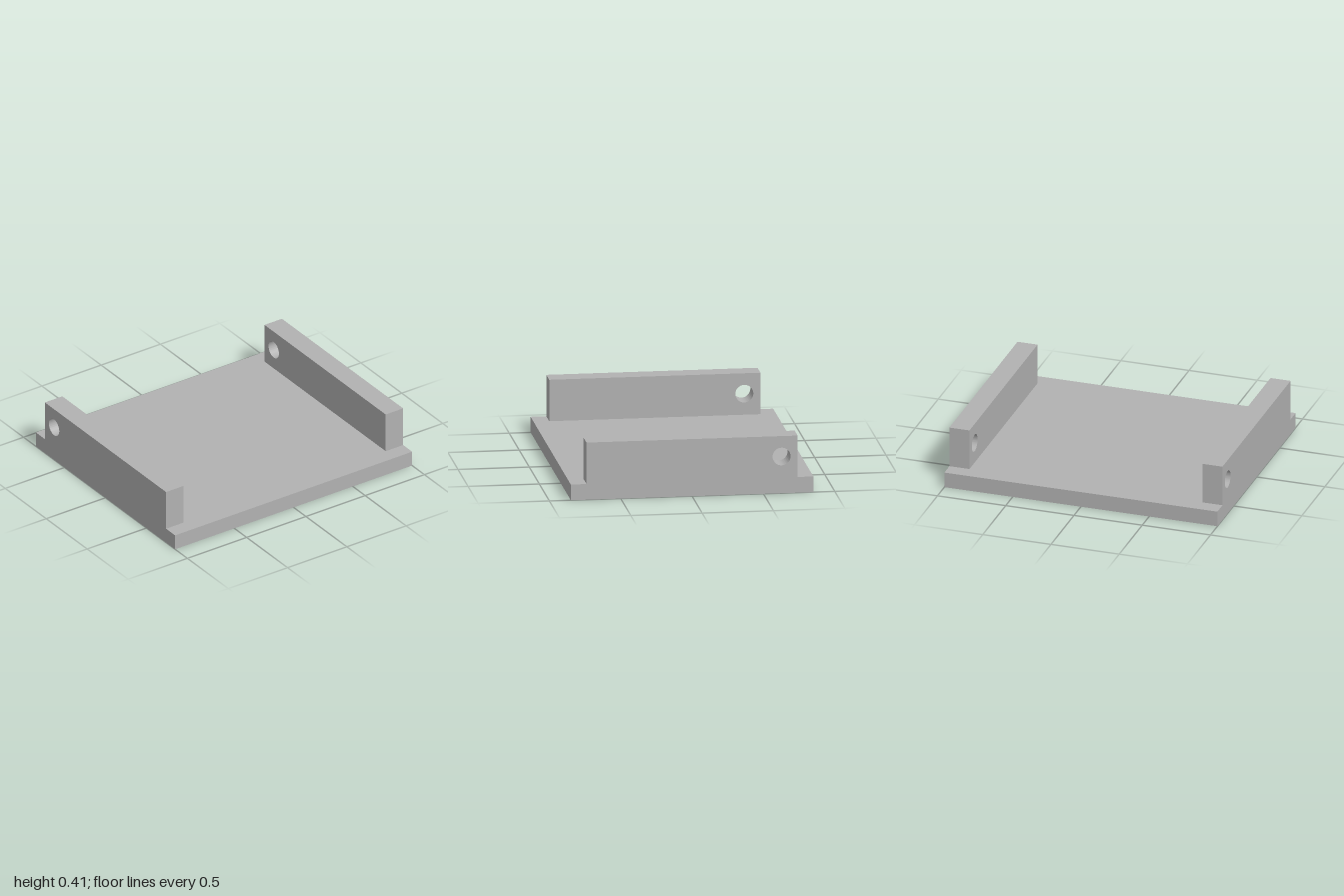
import * as THREE from 'three';
import { toCreasedNormals } from 'three/addons/utils/BufferGeometryUtils.js';

const BASE_H = 0.112, TOP = 0.408, WALL_T = 0.147, HALF_LEN = 0.74;

export function createModel() {
  const model = new THREE.Group();
  model.name = 'bracketTray';
  const grey = new THREE.MeshStandardMaterial({ color: 0xb2b2b2 });
  grey.name = 'grey';

  // Flat base plate
  const base = new THREE.Mesh(new THREE.BoxGeometry(2, BASE_H, 1.7), grey);
  base.name = 'basePlate';
  base.position.y = BASE_H / 2;
  model.add(base);

  // Side wall profile with a round pin hole near the back
  const profile = new THREE.Shape();
  profile.moveTo(-HALF_LEN, BASE_H);
  profile.lineTo(HALF_LEN, BASE_H);
  profile.lineTo(HALF_LEN, TOP);
  profile.lineTo(-HALF_LEN, TOP);
  profile.closePath();
  const hole = new THREE.Path();
  hole.absarc(0.627, 0.262, 0.063, 0, Math.PI * 2, true);
  profile.holes.push(hole);

  // Turned so the profile runs front to back and its thickness lies along x
  const wallGeometry = toCreasedNormals(
    new THREE.ExtrudeGeometry(profile, { depth: WALL_T, bevelEnabled: false, curveSegments: 48 }),
    Math.PI / 6
  );
  wallGeometry.rotateY(Math.PI / 2);

  for (const [name, x] of [['leftWall', 1 - WALL_T], ['rightWall', -1]]) {
    const wall = new THREE.Mesh(wallGeometry, grey);
    wall.name = name;
    wall.position.x = x;
    model.add(wall);
  }
  return model;
}
